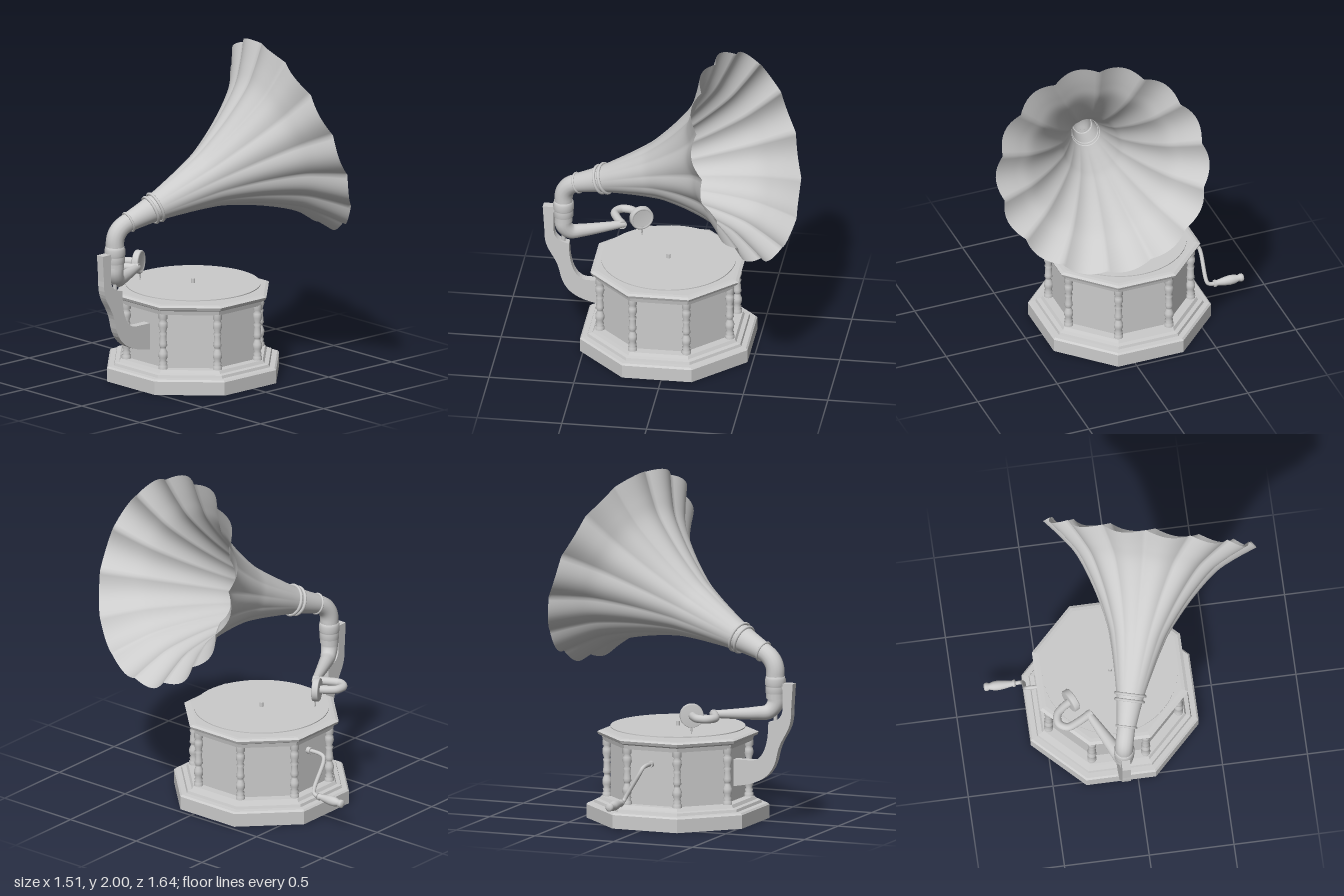
import * as THREE from 'three';
import { mergeVertices } from 'three/addons/utils/BufferGeometryUtils.js';

const CX = -0.025, CZ = -0.1; // centre of the cabinet
const V = (x, y, z) => new THREE.Vector3(x, y, z);
const smooth = new THREE.MeshStandardMaterial({ color: 0xcccccc });
const flat = new THREE.MeshStandardMaterial({ color: 0xcccccc, flatShading: true });
const thin = new THREE.MeshStandardMaterial({ color: 0xcccccc, side: THREE.DoubleSide });

export function createModel() {
  const root = new THREE.Group();
  root.name = 'gramophone';
  const add = (name, geo, mat = smooth, x = 0, y = 0, z = 0) => {
    const m = new THREE.Mesh(geo, mat);
    m.name = name;
    m.position.set(x, y, z);
    root.add(m);
    return m;
  };
  const lathe = (pts, seg) => new THREE.LatheGeometry(pts.map(p => new THREE.Vector2(p[0], p[1])), seg);

  // Octagonal mouldings: profile of [apothem, height]
  const octagon = (name, pts) => {
    const k = 1 / Math.cos(Math.PI / 8);
    const g = lathe(pts.map(([a, y]) => [a * k, y]), 8).rotateY(Math.PI / 8);
    return add(name, g, flat, CX, 0, CZ);
  };
  octagon('base', [[0, 0], [0.495, 0], [0.495, 0.08], [0.485, 0.09], [0.455, 0.092], [0.45, 0.108],
    [0.425, 0.112], [0.415, 0.13], [0, 0.13]]);
  octagon('cabinet', [[0.365, 0.12], [0.365, 0.47]]);
  octagon('cornice', [[0, 0.46], [0.405, 0.46], [0.41, 0.485], [0.43, 0.495], [0.437, 0.512], [0.42, 0.52],
    [0.4, 0.522], [0, 0.522]]);

  // Turned pillars at the cabinet corners
  const pillarPts = [[0.027, 0.125], [0.027, 0.15], [0.02, 0.155], [0.025, 0.17], [0.018, 0.18], [0.026, 0.2],
    [0.027, 0.225], [0.017, 0.25], [0.018, 0.262], [0.025, 0.27], [0.022, 0.285], [0.019, 0.33], [0.024, 0.345],
    [0.017, 0.355], [0.027, 0.385], [0.025, 0.41], [0.018, 0.425], [0.026, 0.432], [0.026, 0.465]];
  for (let i = 0; i < 8; i++) {
    const a = Math.PI / 8 + i * Math.PI / 4, r = 0.415;
    add('pillar', lathe(pillarPts, 16), smooth, CX + r * Math.cos(a), 0, CZ + r * Math.sin(a));
  }

  // Turntable
  add('turntableHub', new THREE.CylinderGeometry(0.29, 0.29, 0.025, 48), smooth, CX, 0.531, CZ);
  add('turntable', new THREE.CylinderGeometry(0.395, 0.395, 0.006, 64), smooth, CX, 0.545, CZ);
  add('spindle', new THREE.CylinderGeometry(0.012, 0.012, 0.04, 16), smooth, CX, 0.555, CZ);

  // S-shaped support bracket
  const s = new THREE.Shape();
  s.moveTo(-0.765, 0.845);
  s.lineTo(-0.7, 0.845);
  s.lineTo(-0.7, 0.69);
  s.quadraticCurveTo(-0.695, 0.62, -0.61, 0.61);
  s.bezierCurveTo(-0.61, 0.47, -0.575, 0.375, -0.5, 0.375);
  s.lineTo(-0.38, 0.375);
  s.lineTo(-0.38, 0.215);
  s.bezierCurveTo(-0.55, 0.235, -0.64, 0.28, -0.665, 0.42);
  s.bezierCurveTo(-0.69, 0.54, -0.76, 0.55, -0.755, 0.69);
  s.closePath();
  const plate = new THREE.ExtrudeGeometry(s, { depth: 0.05, bevelEnabled: false, curveSegments: 12 });
  add('bracket', plate, smooth, 0, 0, CZ - 0.025);
  add('bracketArm', new THREE.BoxGeometry(0.1, 0.03, 0.05), smooth, -0.69, 0.825, CZ);
  add('bracketPin', new THREE.CylinderGeometry(0.012, 0.012, 0.08, 12), smooth, -0.645, 0.64, CZ);

  // Round pipe along a path, tapering from r0 to r1
  const pipe = (name, path, r0, r1 = r0, n = 40) => {
    const g = new THREE.TubeGeometry(path, n, r0, 16), p = g.attributes.position, v = V(0, 0, 0);
    for (let i = 0; i < p.count; i++) {
      const u = Math.floor(i / 17) / n, c = path.getPointAt(u);
      v.fromBufferAttribute(p, i).sub(c).multiplyScalar(1 + (r1 / r0 - 1) * u).add(c);
      p.setXYZ(i, v.x, v.y, v.z);
    }
    return add(name, g, thin);
  };
  const spline = pts => new THREE.CatmullRomCurve3(pts.map(p => V(...p)));

  // Horn frame: local y runs along the horn's axis
  const axis = V(0.903, 0.352, 0.244).normalize(), origin = V(-0.4, 1.08, -0.033);
  const side = V(0, 1, 0).cross(axis).normalize();
  const frame = new THREE.Matrix4().makeBasis(side, axis, side.clone().cross(axis)).setPosition(origin);
  const along = t => origin.clone().addScaledVector(axis, t);

  // Vertical pipe and elbow
  const neck = new THREE.CurvePath();
  neck.add(new THREE.LineCurve3(V(-0.645, 0.75, CZ), V(-0.645, 0.9, CZ)));
  neck.add(new THREE.QuadraticBezierCurve3(V(-0.645, 0.9, CZ), V(-0.645, 0.985, CZ), along(-0.17)));
  pipe('elbow', neck, 0.054);
  add('neckCollar', lathe([[0.05, 0.78], [0.058, 0.782], [0.058, 0.82], [0.055, 0.825], [0.061, 0.83], [0.061, 0.865],
    [0.057, 0.87], [0.057, 0.88], [0.05, 0.882]], 32), smooth, -0.645, 0, CZ);

  // Fluted horn with a scalloped rim of 14 lobes
  const hornCurve = new THREE.SplineCurve([[0.056, -0.18], [0.08, 0], [0.112, 0.15], [0.15, 0.3], [0.19, 0.42], [0.285, 0.61],
    [0.4, 0.785], [0.5, 0.88], [0.618, 0.97]].map(p => new THREE.Vector2(...p)));
  let horn = new THREE.LatheGeometry(hornCurve.getPoints(48), 168);
  const hp = horn.attributes.position;
  for (let i = 0; i < hp.count; i++) {
    const x = hp.getX(i), y = hp.getY(i), z = hp.getZ(i);
    const u = Math.max(0, y / 0.97), lobe = Math.abs(Math.sin(7 * Math.atan2(x, z))) - 0.6;
    const k = 1 + 0.045 * lobe * Math.min(1, u * 1.6);
    hp.setXYZ(i, x * k, y - 0.03 * lobe * u ** 5, z * k);
  }
  horn.deleteAttribute('uv');
  horn.deleteAttribute('normal');
  horn = mergeVertices(horn, 1e-5);
  horn.computeVertexNormals();
  add('horn', horn.applyMatrix4(frame), thin);

  // Rings around the horn's narrow end
  for (const [t, r, w] of [[-0.02, 0.082, 0.013], [0.015, 0.088, 0.013], [-0.175, 0.058, 0.01]]) {
    const ring = new THREE.TorusGeometry(r, w * 0.7, 10, 40).rotateX(Math.PI / 2).translate(0, t, 0);
    add('hornRing', ring.applyMatrix4(frame));
  }

  // Tone arm, its joint and the U-shaped end
  pipe('toneArm', spline([[-0.645, 0.79, CZ], [-0.645, 0.72, -0.1], [-0.61, 0.672, -0.118], [-0.54, 0.663, -0.153],
    [-0.31, 0.66, -0.27]]), 0.054, 0.021, 48);
  const joint = new THREE.CylinderGeometry(0.026, 0.026, 0.035, 20).rotateX(Math.PI / 2);
  add('armJoint', joint, smooth, -0.325, 0.66, -0.265).rotation.y = 0.45;
  pipe('armBend', spline([[-0.315, 0.66, -0.25], [-0.36, 0.66, -0.33], [-0.385, 0.66, -0.4], [-0.355, 0.66, -0.447],
    [-0.3, 0.66, -0.447], [-0.26, 0.66, -0.41], [-0.23, 0.66, -0.365]]), 0.024);

  // Sound box and needle
  const box = new THREE.Group();
  box.name = 'soundBox';
  const disc = new THREE.Mesh(lathe([[0, -0.02], [0.066, -0.02], [0.07, -0.015], [0.07, 0.015], [0.066, 0.02],
    [0.058, 0.02], [0.056, 0.015], [0, 0.015]], 40).rotateX(Math.PI / 2), smooth);
  disc.name = 'soundBoxDisc';
  const needle = new THREE.Mesh(new THREE.CylinderGeometry(0.009, 0.003, 0.06, 10), smooth);
  needle.name = 'needle';
  needle.position.set(0, -0.08, 0.01);
  box.add(disc, needle);
  box.position.set(-0.222, 0.66, -0.357);
  box.rotation.y = 0.48;
  root.add(box);

  // Winding crank at the back
  pipe('crank', spline([[-0.01, 0.375, -0.44], [-0.01, 0.375, -0.56], [-0.006, 0.365, -0.588], [0.005, 0.34, -0.597],
    [0.09, 0.2, -0.597], [0.102, 0.175, -0.605], [0.105, 0.165, -0.63], [0.105, 0.165, -0.66]]), 0.012);
  const boss = new THREE.CylinderGeometry(0.02, 0.02, 0.03, 16).rotateX(Math.PI / 2);
  add('crankBoss', boss, smooth, -0.01, 0.375, CZ - 0.375);
  const grip = lathe([[0, 0], [0.02, 0], [0.022, 0.012], [0.017, 0.022], [0.024, 0.06], [0.029, 0.1], [0.027, 0.13],
    [0.019, 0.155], [0.024, 0.165], [0.024, 0.18], [0.015, 0.187], [0, 0.188]], 20).rotateX(-Math.PI / 2);
  add('crankGrip', grip, smooth, 0.105, 0.165, -0.64);

  return root;
}
